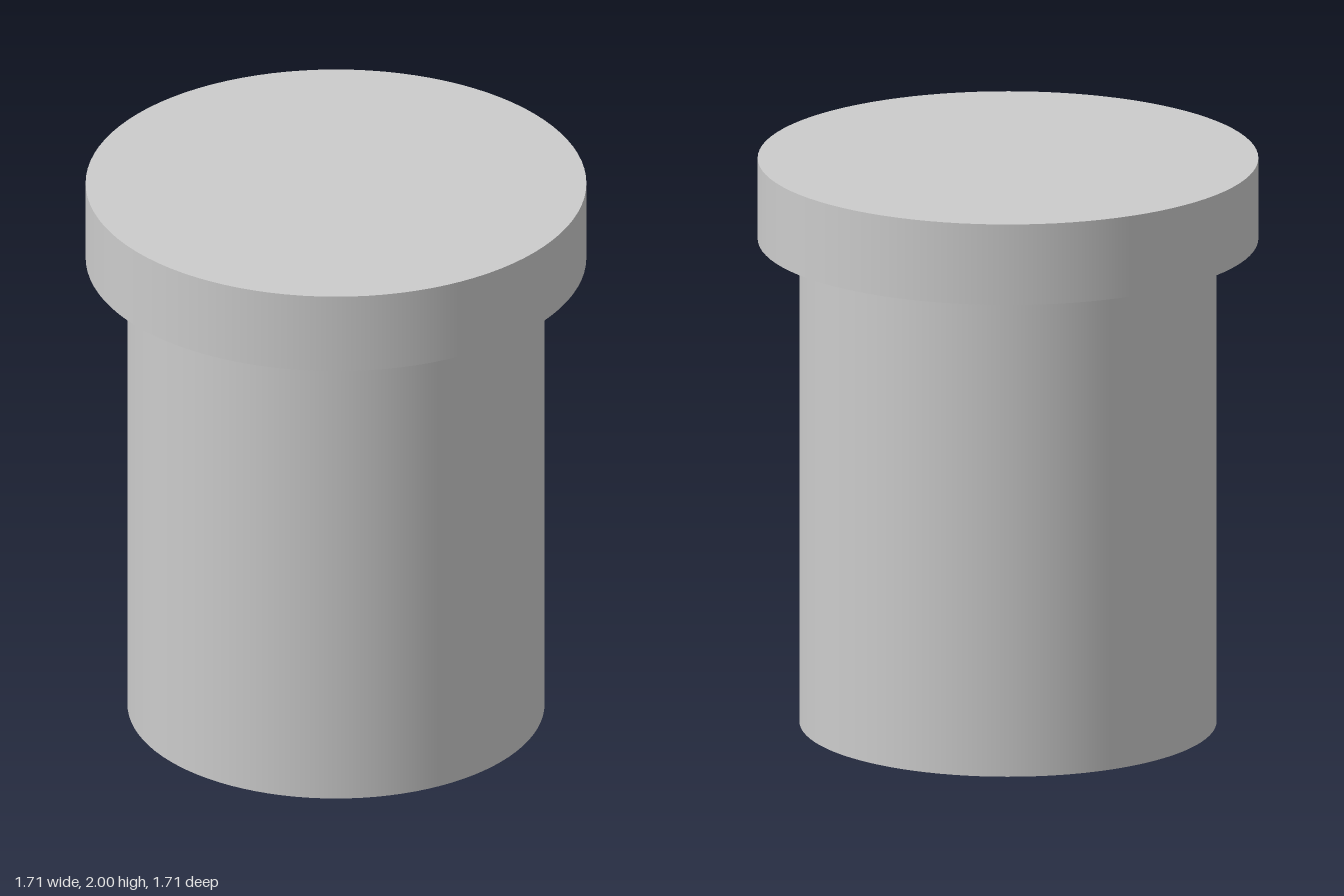
import * as THREE from 'three';

export function createModel() {
  const group = new THREE.Group();
  const material = new THREE.MeshStandardMaterial({ color: 0xcccccc });

  // Upright round part with closed ends, from height y0 to y1
  const addCylinder = (name, radius, y0, y1) => {
    const mesh = new THREE.Mesh(new THREE.CylinderGeometry(radius, radius, y1 - y0, 96), material);
    mesh.name = name;
    mesh.position.y = (y0 + y1) / 2;
    group.add(mesh);
  };

  addCylinder('shaft', 0.714, 0, 1.714);
  addCylinder('head', 0.857, 1.714, 2);

  return group;
}
